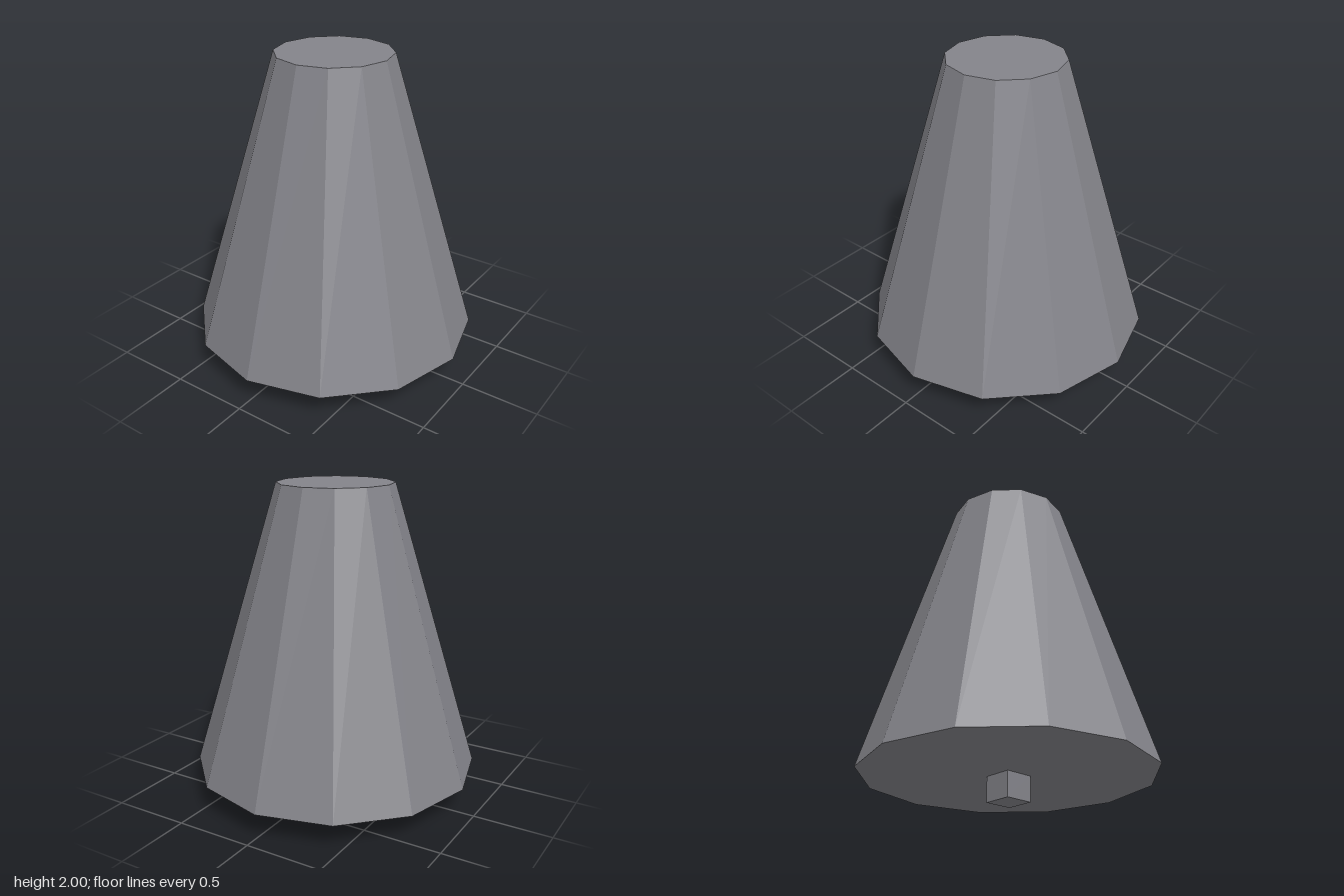
import * as THREE from 'three';

export function createModel() {
  const group = new THREE.Group();
  const grey = new THREE.MeshStandardMaterial({ color: 0x84848a, flatShading: true });
  grey.name = 'grey';

  const addPart = (name, geometry, y) => {
    const mesh = new THREE.Mesh(geometry, grey);
    mesh.name = name;
    mesh.position.y = y;
    group.add(mesh);
  };

  // Twelve-sided tapered body, closed at both ends
  const bottom = 0.16, top = 2;
  addPart('body', new THREE.CylinderGeometry(0.368, 0.92, top - bottom, 12), (top + bottom) / 2);

  // Small square peg under the body
  addPart('peg', new THREE.BoxGeometry(0.186, bottom, 0.186), bottom / 2);

  return group;
}
